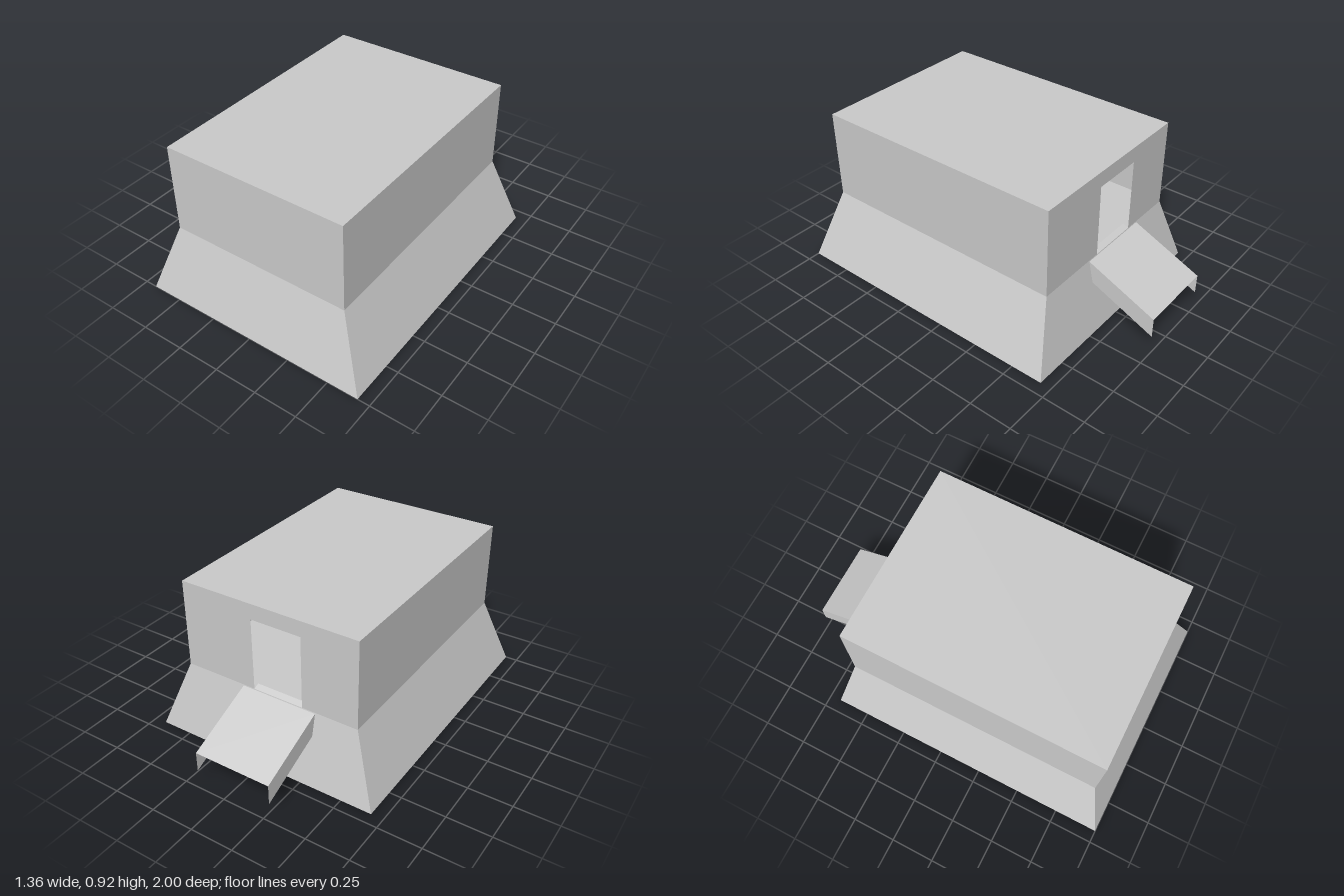
import * as THREE from 'three';

const material = new THREE.MeshStandardMaterial({ color: 0xcccccc, flatShading: true, side: THREE.DoubleSide });

// Thin shell from four-cornered faces, corners counter-clockwise from outside
function quads(name, faces) {
  const points = [];
  for (const [a, b, c, d] of faces) points.push(...a, ...b, ...c, ...a, ...c, ...d);
  const geometry = new THREE.BufferGeometry();
  geometry.setAttribute('position', new THREE.Float32BufferAttribute(points, 3));
  geometry.computeVertexNormals();
  const mesh = new THREE.Mesh(geometry, material);
  mesh.name = name;
  return mesh;
}

// Corners of a level rectangle: front left, front right, back right, back left on plan
const ring = (x0, x1, z0, z1, y) => [[x0, y, z1], [x1, y, z1], [x1, y, z0], [x0, y, z0]];

// Side faces joining two rings
const sides = (low, high, indices) => indices.map((i) => {
  const j = (i + 1) % 4;
  return [low[i], low[j], high[j], high[i]];
});

export function createModel() {
  const group = new THREE.Group();
  const left = -0.54, right = 0.525, back = -0.595, front = 0.885;
  const floorY = 0.41, roofY = 0.92;
  const foot = ring(-0.68, 0.68, -0.685, 1, 0);
  const waist = ring(left, right, back, front, floorY);
  const top = ring(left, right, back, front, roofY);

  // Flared base with its underside
  group.add(quads('flaredBase', [...sides(foot, waist, [0, 1, 2, 3]), [...foot].reverse()]));

  // Hollow room: floor, roof and three plain walls
  group.add(quads('roomFloor', [waist]));
  group.add(quads('roof', [top]));
  group.add(quads('roomWalls', sides(waist, top, [0, 1, 3])));

  // Back wall with an open doorway reaching down to the floor
  const doorLeft = -0.21, doorRight = 0.09, doorTop = 0.83;
  const wall = new THREE.Shape([
    [left, floorY], [doorLeft, floorY], [doorLeft, doorTop], [doorRight, doorTop],
    [doorRight, floorY], [right, floorY], [right, roofY], [left, roofY],
  ].map(([x, y]) => new THREE.Vector2(x, y)));
  const backWall = new THREE.Mesh(new THREE.ShapeGeometry(wall), material);
  backWall.position.z = back;
  backWall.name = 'backWall';
  group.add(backWall);

  // Small sloped sill inside the doorway
  group.add(quads('doorSill', [[
    [doorRight, floorY, back], [doorLeft, floorY, back],
    [doorLeft, floorY + 0.014, back + 0.033], [doorRight, floorY + 0.014, back + 0.033],
  ]]));

  // Ramp: sloped deck with a hanging skirt on each side, open below
  const rampLeft = -0.29, rampRight = 0.16;
  const skirt = (x) => [[x, 0.405, back], [x, 0.28, -0.624], [x, 0.115, -1], [x, 0.23, -1]];
  const skirtL = skirt(rampLeft), skirtR = skirt(rampRight);
  group.add(quads('rampDeck', [[skirtL[0], skirtR[0], skirtR[3], skirtL[3]]]));
  group.add(quads('rampSkirts', [[...skirtL].reverse(), skirtR]));

  return group;
}
